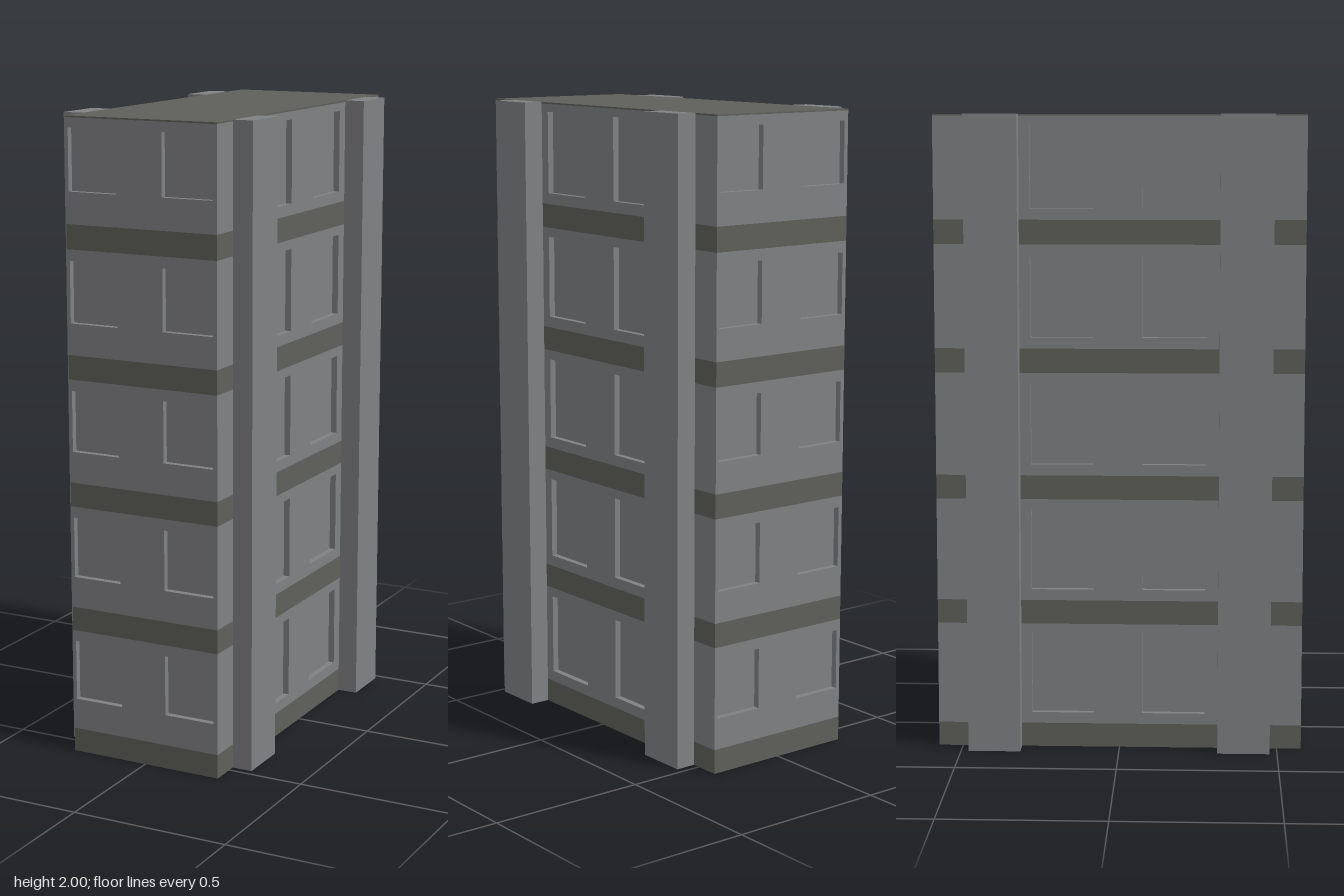
import * as THREE from 'three';

const HX = 0.255, HZ = 0.577, RECESS = 0.02;
const STOREYS = 5, STEP = 0.4, SLAB = 0.076, TOP = 2, ROOF = 0.005;

export function createModel() {
  const model = new THREE.Group();
  model.name = 'towerBlock';
  const concrete = new THREE.MeshStandardMaterial({ color: 0x808183 });
  concrete.name = 'grey concrete';
  const darkBand = new THREE.MeshStandardMaterial({ color: 0x5f605a });
  darkBand.name = 'dark olive grey';

  const box = (name, mat, w, h, d, x, y, z, parent = model) => {
    const m = new THREE.Mesh(new THREE.BoxGeometry(w, h, d), mat);
    m.name = name;
    m.position.set(x, y + h / 2, z);
    parent.add(m);
  };

  // Wall panel with window openings, each given as [left, right, bottom, top]
  const panelGeometry = (half, height, windows) => {
    const s = new THREE.Shape();
    s.moveTo(-half, 0).lineTo(half, 0).lineTo(half, height).lineTo(-half, height).closePath();
    for (const [l, r, b, t] of windows) {
      const hole = new THREE.Path();
      hole.moveTo(l, b).lineTo(l, t).lineTo(r, t).lineTo(r, b).closePath();
      s.holes.push(hole);
    }
    return new THREE.ExtrudeGeometry(s, { depth: RECESS, bevelEnabled: false });
  };

  const frontWindows = [[-0.245, -0.081], [0.073, 0.241]].map(([l, r]) => [l, r, 0.174 - SLAB, 0.365 - SLAB]);
  const sideWindows = [[-0.278, -0.081], [0.072, 0.27]].map(([l, r]) => [l, r, 0.111 - SLAB, 0.37 - SLAB]);

  // Core behind the windows, forming the recessed panes
  box('windowCore', concrete, 2 * (HX - RECESS), TOP - ROOF - 0.01, 2 * (HZ - RECESS), 0, 0.005, 0);

  // Storeys: a dark floor band and four pierced walls
  for (let i = 0; i < STOREYS; i++) {
    const storey = new THREE.Group();
    storey.name = 'storey' + (i + 1);
    storey.position.y = i * STEP;
    model.add(storey);
    box('floorBand', darkBand, 2 * HX, SLAB, 2 * HZ, 0, 0, 0, storey);

    const height = STEP - SLAB - (i === STOREYS - 1 ? ROOF : 0);
    const endPanel = panelGeometry(HX, height, frontWindows);
    const sidePanel = panelGeometry(HZ - RECESS, height, sideWindows);
    const addWall = (name, geo, turn, out) => {
      const wall = new THREE.Mesh(geo, concrete);
      wall.name = name;
      wall.rotation.y = turn;
      wall.position.set(Math.sin(turn) * out, SLAB, Math.cos(turn) * out);
      storey.add(wall);
    };
    addWall('frontWall', endPanel, 0, HZ - RECESS);
    addWall('backWall', endPanel, Math.PI, HZ - RECESS);
    addWall('leftWall', sidePanel, Math.PI / 2, HX - RECESS);
    addWall('rightWall', sidePanel, -Math.PI / 2, HX - RECESS);
  }

  // Flat dark roof
  box('roof', darkBand, 2 * HX, ROOF, 2 * HZ, 0, TOP - ROOF, 0);

  // Full-height pillars on the long sides
  for (const sx of [-1, 1]) {
    for (const sz of [-1, 1]) {
      box('pillar', concrete, 0.065, TOP, 0.165, sx * (HX + 0.0325), 0, sz * 0.394);
    }
  }
  return model;
}
